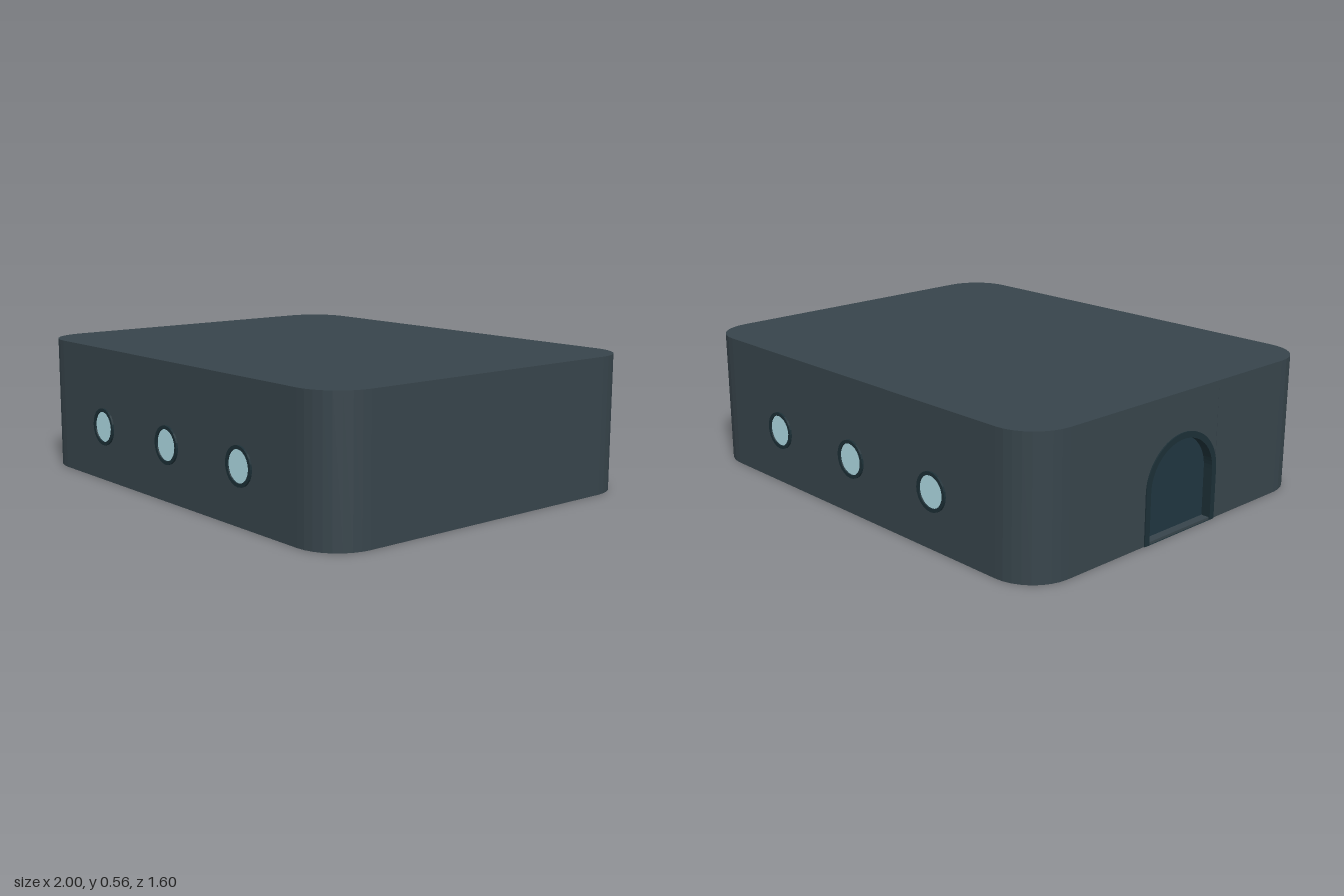
import * as THREE from 'three';

const H = 0.56, HX = 0.995, HZ = 0.79, R = 0.18; // body height, half sizes, corner radius
const DOOR = 0.205, SPRING = 0.21, DEPTH = 0.04; // door half width, arch start, recess

const paint = (color) => new THREE.MeshStandardMaterial({ color });

export function createModel() {
  const model = new THREE.Group();
  const bodyMat = paint(0x37444b);
  const rimMat = paint(0x1c2f36);
  const doorMat = paint(0x1f3540);
  const glassMat = paint(0xb0dce6);

  const add = (name, geometry, material, parent = model) => {
    const mesh = new THREE.Mesh(geometry, material);
    mesh.name = name;
    parent.add(mesh);
    return mesh;
  };
  const extrude = (shape, depth, curveSegments) =>
    new THREE.ExtrudeGeometry(shape, { depth, curveSegments, bevelEnabled: false });

  // Extrudes a (z, y) profile outward through the -x wall
  const sideExtrude = (shape, x, depth) =>
    extrude(shape, depth, 16).rotateY(-Math.PI / 2).translate(x, 0, 0);

  // Traces an arch from its right foot to its left foot
  const arch = (path, inset) => {
    const w = DOOR - inset;
    return path.lineTo(w, 0).lineTo(w, SPRING)
      .absellipse(0, SPRING, w, 0.4 - SPRING - inset, 0, Math.PI, false)
      .lineTo(-w, 0);
  };

  // Rounded body, with a slot left in the -x wall for the doorway
  const plan = new THREE.Shape();
  plan.moveTo(-HX + R, -HZ);
  plan.lineTo(HX - R, -HZ);
  plan.absarc(HX - R, -HZ + R, R, -Math.PI / 2, 0, false);
  plan.absarc(HX - R, HZ - R, R, 0, Math.PI / 2, false);
  plan.absarc(-HX + R, HZ - R, R, Math.PI / 2, Math.PI, false);
  plan.lineTo(-HX, DOOR);
  plan.lineTo(-HX + DEPTH, DOOR);
  plan.lineTo(-HX + DEPTH, -DOOR);
  plan.lineTo(-HX, -DOOR);
  plan.absarc(-HX + R, -HZ + R, R, Math.PI, Math.PI * 1.5, false);
  add('body', extrude(plan, H, 4).rotateX(-Math.PI / 2), bodyMat);

  // Wall above and around the arch
  const wall = new THREE.Shape();
  wall.moveTo(-DOOR, 0);
  wall.lineTo(-DOOR, H);
  wall.lineTo(DOOR, H);
  arch(wall, 0.004);
  add('doorwayWall', sideExtrude(wall, -HX + DEPTH, DEPTH), bodyMat);

  // Door panel, threshold and arched frame
  const panel = new THREE.Shape();
  panel.moveTo(-DOOR, 0);
  arch(panel, 0);
  add('doorPanel', sideExtrude(panel, -HX + DEPTH - 0.001, 0.004), doorMat);
  const sill = add('doorSill', new THREE.BoxGeometry(DEPTH, 0.01, DOOR * 2), bodyMat);
  sill.position.set(-HX + DEPTH / 2, 0.005, 0);

  const frame = new THREE.Shape();
  frame.moveTo(-DOOR, 0);
  arch(frame, 0);
  const w = DOOR - 0.025;
  frame.lineTo(-w, 0).lineTo(-w, SPRING);
  frame.absellipse(0, SPRING, w, 0.4 - SPRING - 0.025, Math.PI, 0, true);
  frame.lineTo(w, 0);
  add('doorFrame', sideExtrude(frame, -HX + DEPTH, DEPTH + 0.005), rimMat);

  // Three round windows on the front and on the back
  const ring = new THREE.Shape().absarc(0, 0, 0.078, 0, Math.PI * 2, false);
  ring.holes.push(new THREE.Path().absarc(0, 0, 0.064, 0, Math.PI * 2, true));
  const ringGeo = extrude(ring, 0.014, 12);
  const glassGeo = new THREE.CircleGeometry(0.066, 24);
  for (const side of [1, -1]) {
    const row = new THREE.Group();
    row.name = side > 0 ? 'frontWindows' : 'backWindows';
    row.rotation.y = side > 0 ? 0 : Math.PI;
    for (const x of [-0.48, 0, 0.48]) {
      add('windowRim', ringGeo, rimMat, row).position.set(x, 0.23, HZ - 0.006);
      add('windowGlass', glassGeo, glassMat, row).position.set(x, 0.23, HZ + 0.002);
    }
    model.add(row);
  }

  return model;
}
